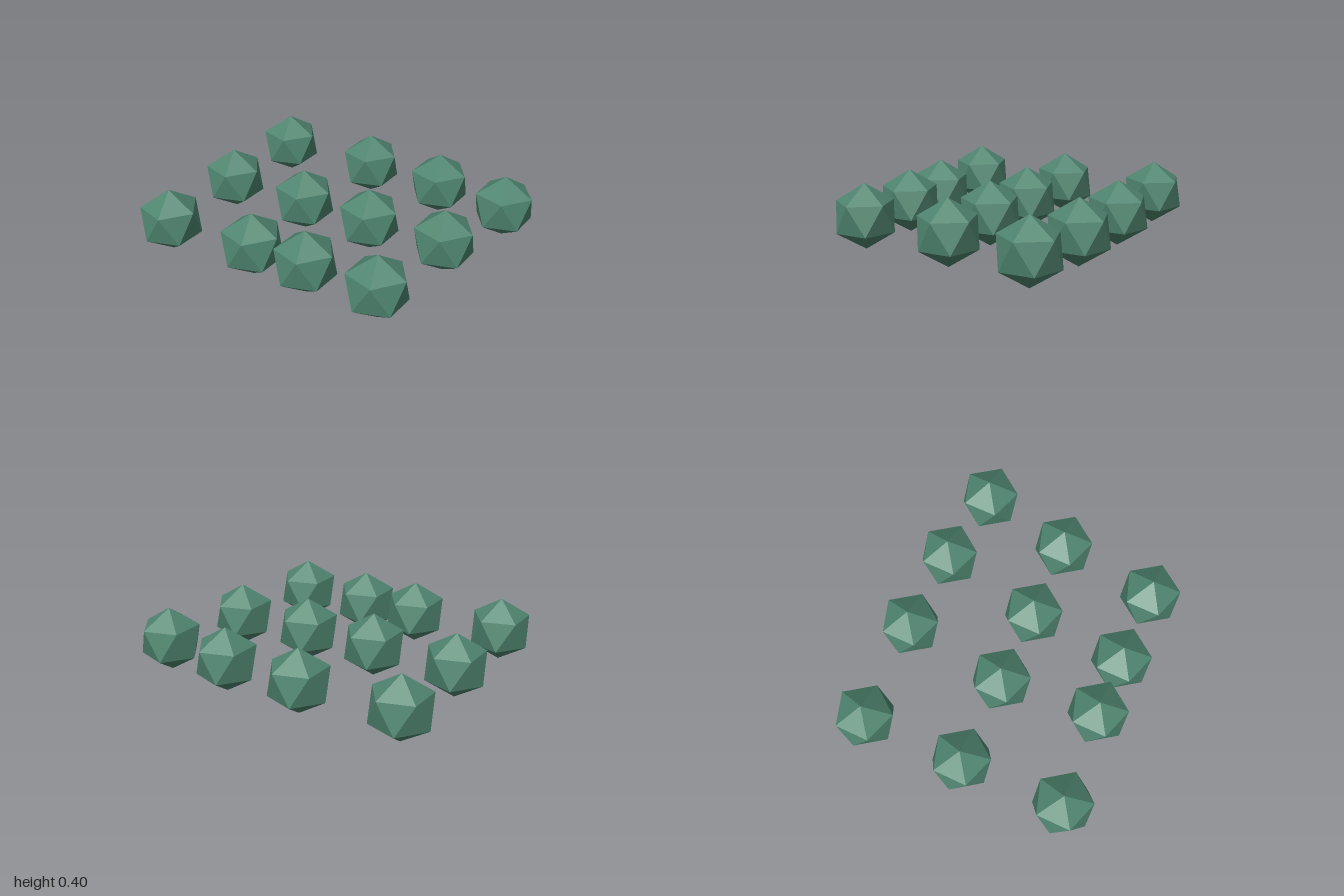
import * as THREE from 'three';

const R = 0.2;

// Stone centres [x, z], three loose rows from back to front
const ROWS = {
  back: [[-0.82, -0.632], [-0.18, -0.656], [0.342, -0.645], [0.822, -0.588]],
  middle: [[-0.815, 0.008], [-0.265, 0.008], [0.209, 0.004], [0.706, -0.015]],
  front: [[-0.797, 0.656], [-0.209, 0.622], [0.161, 0.616], [0.629, 0.613]],
};

export function createModel() {
  const group = new THREE.Group();
  group.name = 'stoneField';

  const green = new THREE.MeshStandardMaterial({ color: 0x4f8570, flatShading: true });
  green.name = 'muted green';

  // Icosahedron turned to stand on one corner, an upper corner pointing to +x
  const stone = new THREE.IcosahedronGeometry(R, 0);
  stone.rotateZ(-Math.atan(2 / (1 + Math.sqrt(5))));

  for (const [row, centres] of Object.entries(ROWS)) {
    const rowGroup = new THREE.Group();
    rowGroup.name = `${row}Row`;
    centres.forEach(([x, z], i) => {
      const mesh = new THREE.Mesh(stone, green);
      mesh.name = `${row}Stone${i + 1}`;
      mesh.position.set(x, R, z);
      rowGroup.add(mesh);
    });
    group.add(rowGroup);
  }
  return group;
}
